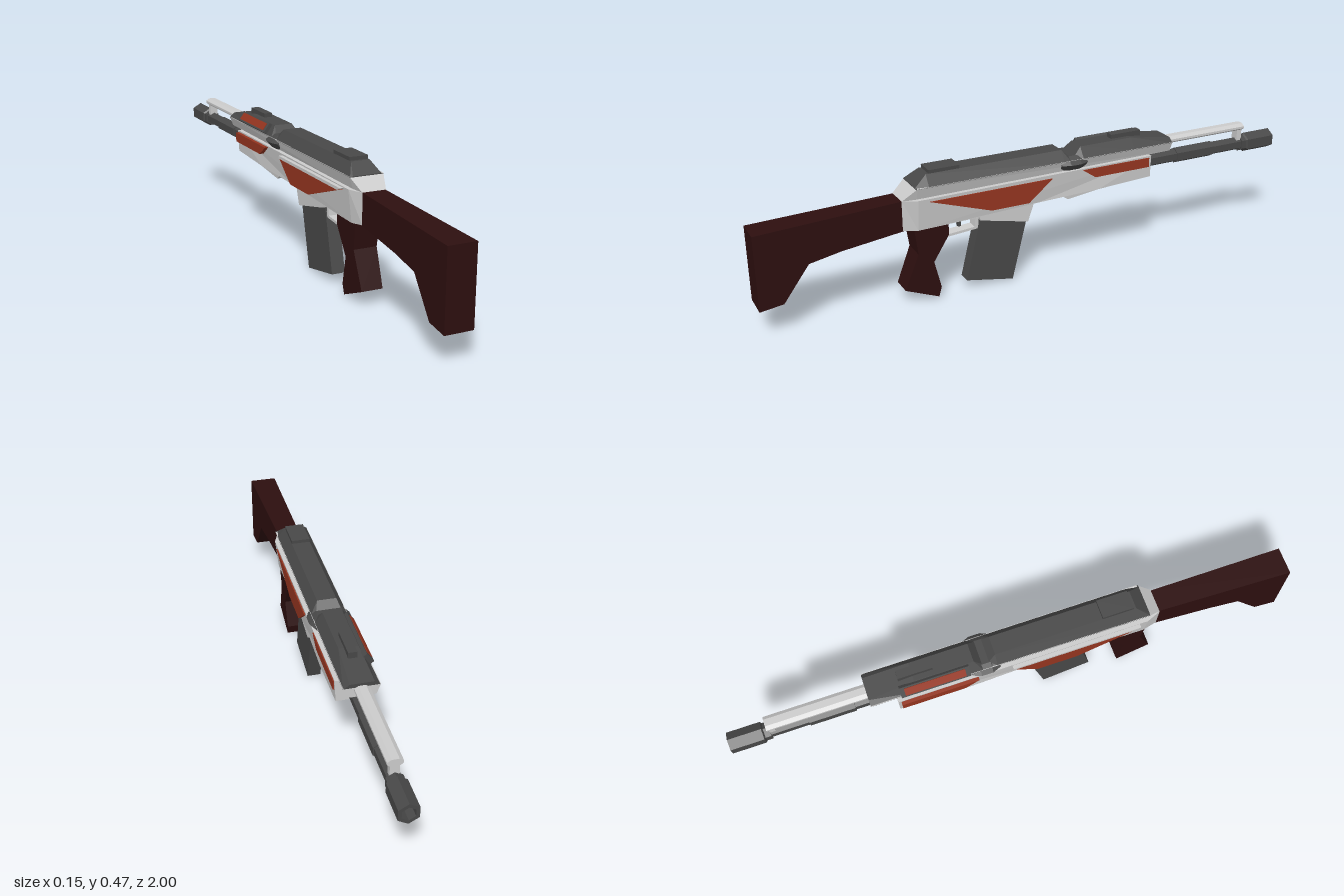
import * as THREE from 'three';

const mat = (color, side = THREE.FrontSide) => new THREE.MeshStandardMaterial({ color, side, flatShading: true });
const GREY = mat(0xcccccc), DARK = mat(0x484848), BROWN = mat(0x2d0f0f), RUST = mat(0x953520);

export function createModel() {
  const root = new THREE.Group();

  const add = (name, geometry, material) => {
    const mesh = new THREE.Mesh(geometry, material);
    mesh.name = name;
    root.add(mesh);
    return mesh;
  };

  // Side profile of [z, y] points spread across x; width(y, z) gives the half width
  const profile = (points, width) => {
    const shape = new THREE.Shape(points.map(([z, y]) => new THREE.Vector2(-z, y)));
    const g = new THREE.ExtrudeGeometry(shape, { depth: 2, bevelEnabled: false });
    g.translate(0, 0, -1).rotateY(Math.PI / 2);
    const p = g.attributes.position;
    for (let i = 0; i < p.count; i++) {
      p.setX(i, Math.sign(p.getX(i)) * width(p.getY(i), p.getZ(i)));
    }
    g.computeVertexNormals();
    return g;
  };

  // Mirrored cross-sections [z, [halfWidth, y]...] listed bottom to top, from +z to -z
  const loft = (sections) => {
    const rings = sections.map(([z, ...pts]) => [
      ...pts.map(([w, y]) => [w, y, z]),
      ...pts.slice().reverse().map(([w, y]) => [-w, y, z]),
    ]);
    const n = rings[0].length, pos = [];
    const tri = (a, b, c) => pos.push(...a, ...b, ...c);
    for (let r = 0; r < rings.length - 1; r++) {
      for (let i = 0; i < n; i++) {
        const j = (i + 1) % n, A = rings[r], B = rings[r + 1];
        tri(A[i], B[i], A[j]);
        tri(A[j], B[i], B[j]);
      }
    }
    const last = rings[rings.length - 1];
    for (let i = 1; i < n - 1; i++) {
      tri(rings[0][0], rings[0][i], rings[0][i + 1]);
      tri(last[0], last[i + 1], last[i]);
    }
    const g = new THREE.BufferGeometry();
    g.setAttribute('position', new THREE.Float32BufferAttribute(pos, 3));
    g.computeVertexNormals();
    return g;
  };

  const box = (name, material, w, h, d, x, y, z) => {
    const m = add(name, new THREE.BoxGeometry(w, h, d), material);
    m.position.set(x, y, z);
    return m;
  };

  // Six-sided bar along z
  const hexBar = (name, material, r, z0, z1, y) => {
    const g = new THREE.CylinderGeometry(r, r, Math.abs(z1 - z0), 6).rotateX(Math.PI / 2);
    const m = add(name, g, material);
    m.position.set(0, y, (z0 + z1) / 2);
    return m;
  };

  // Stock and grip
  add('stock', profile(
    [[1, 0.1], [0.92, 0.11], [0.83, 0.23], [0.72, 0.25], [0.5, 0.275], [0.5, 0.38], [1, 0.36]],
    (y, z) => 0.04 + 0.018 * (z - 0.5)), BROWN);
  add('grip', profile(
    [[0.475, 0.29], [0.46, 0.18], [0.51, 0.055], [0.39, 0.005], [0.38, 0.04], [0.405, 0.14], [0.35, 0.23], [0.35, 0.29]],
    (y) => 0.036 + 0.03 * y), BROWN);

  // Lower receiver and fore-end
  const bodyWidth = (y) => (y > 0.36 ? 0.063 : y > 0.29 ? 0.059 : 0.05);
  add('lowerReceiver', profile(
    [[0.46, 0.27], [0.23, 0.275], [0.02, 0.285], [-0.08, 0.288], [-0.1, 0.275], [-0.22, 0.295],
      [-0.43, 0.305], [-0.43, 0.385], [0.46, 0.38]], bodyWidth), GREY);
  add('receiverEnd', loft([
    [0.51, [0.04, 0.275], [0.043, 0.38]],
    [0.46, [0.05, 0.27], [0.063, 0.38]],
  ]), GREY);
  add('magazineWell', profile([[0.24, 0.3], [0.23, 0.255], [0.05, 0.215], [0.02, 0.3]], () => 0.036), GREY);
  add('magazine', profile([[0.225, 0.26], [0.28, 0.035], [0.105, 0.002], [0.05, 0.22]], () => 0.024), DARK);
  add('triggerGuard', profile(
    [[0.37, 0.21], [0.23, 0.221], [0.23, 0.28], [0.24, 0.28], [0.245, 0.229], [0.37, 0.219]], () => 0.02), GREY);
  add('trigger', profile([[0.31, 0.28], [0.3, 0.235], [0.29, 0.235], [0.29, 0.28]], () => 0.006), DARK);

  // Upper receiver band, undercut along both sides
  add('upperReceiver', loft([
    [0.51, [0.04, 0.375], [0.042, 0.38]],
    [0.46, [0.046, 0.375], [0.06, 0.42]],
    [-0.52, [0.046, 0.385], [0.06, 0.42]],
  ]), GREY);

  // Top cover in two raised lengths with a collar in the dip between
  add('topCover', loft([
    [0.465, [0.06, 0.418], [0.05, 0.421]],
    [0.42, [0.06, 0.418], [0.033, 0.456]],
    [-0.08, [0.06, 0.418], [0.033, 0.456]],
    [-0.105, [0.06, 0.418], [0.042, 0.432]],
    [-0.13, [0.06, 0.418], [0.042, 0.432]],
    [-0.155, [0.06, 0.418], [0.033, 0.456]],
    [-0.36, [0.06, 0.418], [0.033, 0.456]],
    [-0.52, [0.06, 0.418], [0.04, 0.434]],
  ]), DARK);
  const collar = (z, w) => [z, [w - 0.026, 0.378], [w, 0.407], [w - 0.03, 0.432]];
  add('collar', loft([collar(-0.07, 0.062), collar(-0.1, 0.074), collar(-0.14, 0.074), collar(-0.17, 0.062)]), DARK);

  // Sights
  box('rearSight', DARK, 0.066, 0.022, 0.11, 0, 0.457, 0.355);
  box('frontSight', DARK, 0.03, 0.026, 0.12, 0, 0.458, -0.35);

  // Side panels, standing further out on the right side
  const panels = {
    sidePanel: [[0.42, 0.37], [0.2, 0.297], [0.06, 0.297], [-0.03, 0.37]],
    foreEndPanel: [[-0.15, 0.379], [-0.2, 0.345], [-0.42, 0.345], [-0.42, 0.379]],
  };
  for (const [name, pts] of Object.entries(panels)) {
    add(name + 'Left', profile(pts, () => 0.004).translate(0.062, 0, 0), RUST);
    add(name + 'Right', profile(pts, () => 0.008).translate(-0.067, 0, 0), RUST);
  }
  // Pale rim above the right side panel
  add('panelRim', profile([[0.43, 0.377], [0.41, 0.367], [-0.03, 0.367], [-0.03, 0.377]], () => 0.008)
    .translate(-0.068, 0, 0), GREY);

  // Inlaid panel on the right slope of the cover
  const tilt = Math.atan2(0.036, 0.027);
  for (const [name, m, h, t, d] of [['coverPanelFrame', DARK, 0.04, 0.016, 0.24], ['coverPanel', RUST, 0.028, 0.02, 0.21]]) {
    box(name, m, h, t, d, -0.05, 0.44, -0.295).rotation.z = tilt;
  }

  // Barrel, muzzle and gas rod
  hexBar('barrel', DARK, 0.025, -0.4, -0.87, 0.343);
  hexBar('barrelSleeve', DARK, 0.029, -0.57, -0.73, 0.343);
  const muzzle = [[0, -0.94], [0.024, -0.94], [0.024, -1], [0.037, -1], [0.037, -0.885], [0.031, -0.88], [0.031, -0.86], [0, -0.86]];
  add('muzzle', new THREE.LatheGeometry(muzzle.map(([r, z]) => new THREE.Vector2(r, z)), 6).rotateX(Math.PI / 2), DARK)
    .position.y = 0.343;
  add('gasRod', loft([-0.5, -0.865].map((z) =>
    [z, [0.014, 0.4], [0.025, 0.408], [0.025, 0.416], [0.012, 0.425]])), GREY);
  box('gasBlock', GREY, 0.03, 0.05, 0.02, 0, 0.385, -0.852);

  return root;
}
